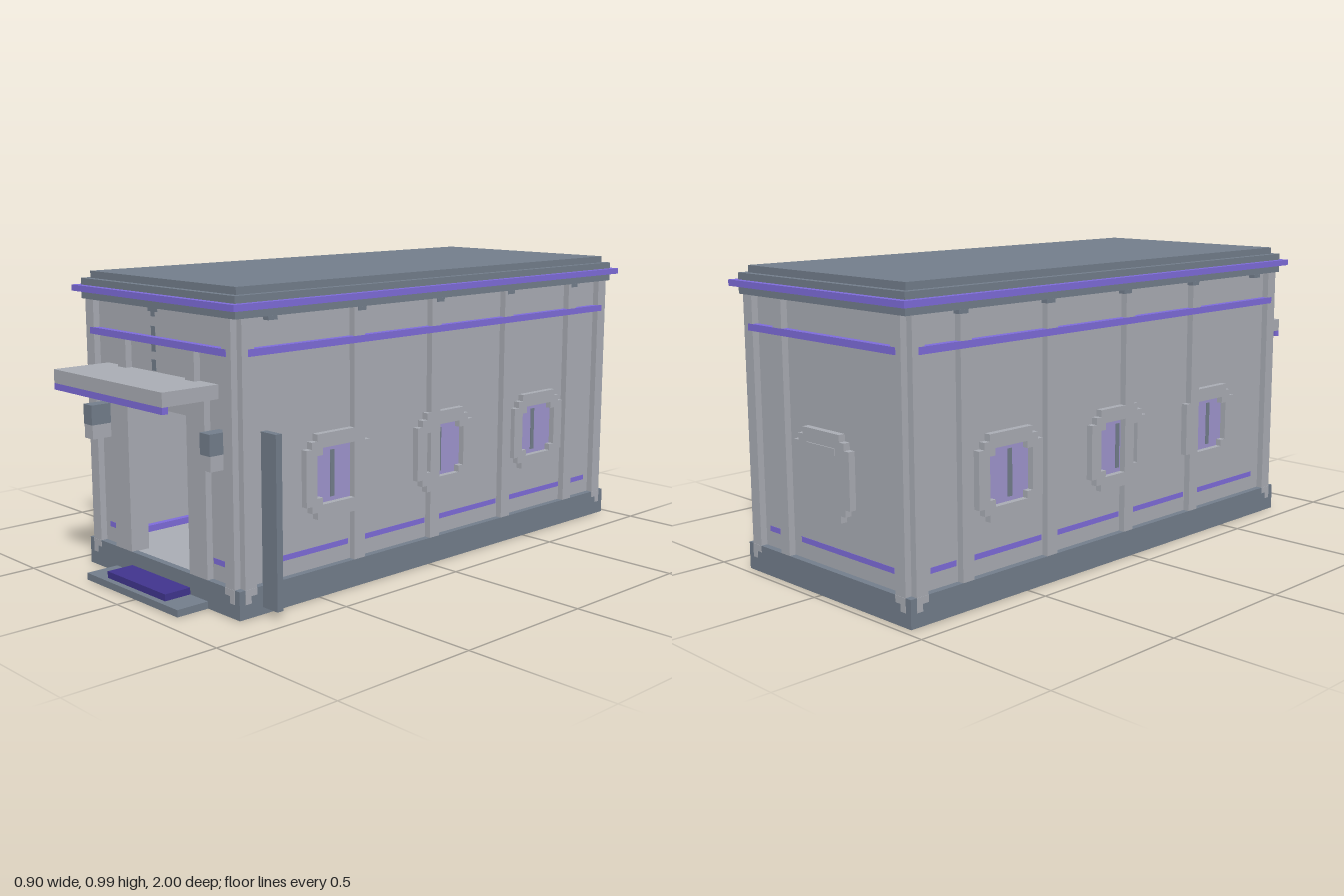
import * as THREE from 'three';

const mat = (name, color) => Object.assign(new THREE.MeshStandardMaterial({ color }), { name });

export function createModel() {
  const wall = mat('wall grey', 0xabaeb6);
  wall.side = THREE.DoubleSide;
  const slate = mat('slate', 0x747f8d);
  const purple = mat('purple trim', 0x7f6ddc);
  const glass = mat('window glass', 0xa096d0);
  const matPurple = mat('deep purple mat', 0x41358f);
  const black = mat('near black', 0x23222e);
  const under = mat('floor underside', 0x8e8f93);

  const root = new THREE.Group();
  root.name = 'building';
  const add = (name, geo, m) => {
    const o = new THREE.Mesh(geo, m);
    o.name = name;
    root.add(o);
    return o;
  };
  // Box given by its low and high limits on each axis
  const box = (name, m, x0, x1, y0, y1, z0, z1) => {
    const o = add(name, new THREE.BoxGeometry(Math.abs(x1 - x0), y1 - y0, Math.abs(z1 - z0)), m);
    o.position.set((x0 + x1) / 2, (y0 + y1) / 2, (z0 + z1) / 2);
    return o;
  };

  const V = 0.0225;                       // block size
  const X0 = -0.427, X1 = 0.38, Z0 = -0.975, Z1 = 0.82;
  const cx = (X0 + X1) / 2, hw = (X1 - X0) / 2;
  const sx = (s, d) => cx + s * (hw - d); // inset d from side s

  // Blocky round outline
  const blockRound = (Type, h, steps) => {
    const quarter = [];
    for (let i = 0; i <= steps; i++) {
      quarter.push([h - i * V, h - (steps - i) * V]);
      if (i < steps) quarter.push([h - (i + 1) * V, h - (steps - i) * V]);
    }
    const pts = [];
    for (let k = 0; k < 4; k++) {
      const c = [1, 0, -1, 0][k], n = [0, 1, 0, -1][k];
      quarter.forEach(([a, b]) => pts.push(new THREE.Vector2(a * c - b * n, a * n + b * c)));
    }
    return new Type(pts);
  };
  const frameGeo = holed => {
    const s = blockRound(THREE.Shape, 6 * V, 2);
    if (holed) s.holes.push(blockRound(THREE.Path, 4 * V, 1));
    return new THREE.ExtrudeGeometry(s, { depth: V, bevelEnabled: false });
  };

  // Plinth ring
  for (const s of [-1, 1]) box('plinthSide', slate, sx(s, 0), sx(s, V), 0, 0.09, Z0, Z1);
  box('plinthBack', slate, X0 + V, X1 - V, 0, 0.09, Z0, Z0 + V);
  box('plinthFront', slate, X0 + V, X1 - V, 0, 0.09, Z1 - V, Z1);

  // Floor layers, open where the two toothed rings sit
  const rings = [[-0.01, -0.455, 0.16], [-0.07, 0.105, 0.16]];
  const floorLayer = (name, m, y, depth) => {
    const a = X0 + V, b = X1 - V, c = -Z1 + V, d = -Z0 - V;
    const s = new THREE.Shape([[a, c], [b, c], [b, d], [a, d]].map(p => new THREE.Vector2(...p)));
    for (const [x, z, r] of rings) s.holes.push(new THREE.Path().absarc(x, -z, r * 0.72, 0, Math.PI * 2, true));
    const o = add(name, new THREE.ExtrudeGeometry(s, { depth, bevelEnabled: false }), m);
    o.rotation.x = -Math.PI / 2;
    o.position.y = y;
  };
  floorLayer('floorTop', wall, 0.076, 0.012);
  floorLayer('floorUnderside', under, 0.066, 0.01);
  box('lowerEdgeLight', purple, 0.292, 0.3, 0, 0.066, Z0 + 2 * V, Z1 - 2 * V);
  for (const [x, z, l] of [[-0.21, -0.795, 0.1], [-0.235, -0.24, 0.12], [-0.28, 0.59, 0.2]])
    box('undersideLight', purple, x - 0.015, x + 0.015, 0.058, 0.066, z - l / 2, z + l / 2);

  // Cornice and roof
  box('corniceBase', slate, X0, X1, 0.9, 0.925, Z0, Z1);
  box('corniceTrim', purple, X0 - V, X1 + V, 0.925, 0.945, Z0 - V, Z1 + V);
  box('roofLower', slate, X0, X1, 0.945, 0.967, Z0, Z1);
  box('roofUpper', slate, X0 + V, X1 - V, 0.967, 0.99, Z0 + V, Z1 - V);

  // Slightly recessed walls
  for (const s of [-1, 1]) box('sideWall', wall, sx(s, V), sx(s, 3 * V), 0.088, 0.9, Z0 + V, Z1 - V);
  box('backWall', wall, X0 + V, X1 - V, 0.088, 0.9, Z0 + V, Z0 + 3 * V);
  const zf0 = Z1 - 3 * V, zf1 = Z1 - V;
  box('frontWallRight', wall, X0 + V, -0.18, 0.088, 0.9, zf0, zf1);
  box('frontWallLeft', wall, 0.135, X1 - V, 0.088, 0.9, zf0, zf1);
  box('frontWallTop', wall, -0.18, 0.135, 0.588, 0.9, zf0, zf1);

  // Notched corner posts with stepped feet over the plinth
  for (const s of [-1, 1]) for (const [z, t] of [[Z1, 1], [Z0, -1]]) {
    box('cornerPostFace', wall, sx(s, V), sx(s, 3 * V), 0.09, 0.9, z, z - t * V);
    box('cornerPostSide', wall, sx(s, 0), sx(s, V), 0.09, 0.9, z - t * V, z - t * 3 * V);
    for (const [i, y] of [[1, 0.045], [2, 0.068]]) {
      const a = i * V, b = a + V;
      box('postFootFace', wall, sx(s, a), sx(s, b), y, 0.09, z, z + t * 0.001);
      box('postFootSide', wall, sx(s, 0), sx(s, -0.001), y, 0.09, z - t * a, z - t * b);
    }
  }

  // Side bays: pilasters, bands, light strips and windows
  const pilasters = [0.328, -0.023, -0.392, -0.75];
  const strips = [[0.71, 0.36], [0.3, 0.005], [-0.05, -0.365], [-0.42, -0.725], [-0.78, -0.88]];
  for (const s of [-1, 1]) {
    for (const z of pilasters) box('sidePilaster', wall, sx(s, 0), sx(s, V), 0.09, 0.9, z - V, z + V);
    box('sideBand', purple, sx(s, -0.001), sx(s, V), 0.788, 0.81, Z0 + 2 * V, Z1 - 2 * V);
    for (const [a, b] of strips) box('sideLightStrip', purple, sx(s, V - 0.001), sx(s, V), 0.14, 0.158, a, b);
    for (const z of [0.418, -0.073, -0.57]) {
      const f = add('windowFrame', frameGeo(true), wall);
      f.rotation.y = s * Math.PI / 2;
      f.position.set(sx(s, V), 0.386, z);
      box('windowGlass', glass, sx(s, V - 0.002), sx(s, V), 0.296, 0.476, z - 4 * V, z + 4 * V);
      box('windowBar', slate, sx(s, V - 0.004), sx(s, V), 0.31, 0.46, z + 0.002, z + 0.02);
    }
    // Small accents under the cornice
    for (const z of [0.68, 0.318, -0.04, -0.4, -0.76])
      box('sideAccent', slate, sx(s, -0.001), sx(s, V), 0.888, 0.9, z - 0.018, z + 0.018);
  }

  // Back wall details
  box('backPilaster', wall, 0.157, 0.202, 0.09, 0.9, Z0, Z0 + V);
  box('backBand', purple, X0 + 2 * V, X1 - 2 * V, 0.788, 0.81, Z0 - 0.001, Z0 + V);
  box('backLightStripShort', purple, 0.23, 0.29, 0.14, 0.158, Z0 + V - 0.001, Z0 + V);
  box('backLightStripLong', purple, -0.33, 0.12, 0.14, 0.158, Z0 + V - 0.001, Z0 + V);
  add('backHatch', frameGeo(false), wall).position.set(cx, 0.386, Z0);
  box('hatchHandle', wall, cx - 0.07, cx + 0.07, 0.455, 0.477, Z0 - 0.004, Z0);

  // Front: piers, lintel, upper posts, lights and lamps
  for (const s of [-1, 1]) {
    const m = v => -0.0225 + s * v;
    box('doorPier', wall, m(0.1575), m(0.2475), 0.09, 0.655, zf1, Z1);
    box('upperPost', wall, m(0.1575), m(0.2025), 0.697, 0.788, zf1, Z1);
    box('frontLightStrip', purple, m(0.252), m(0.312), 0.14, 0.158, zf1, zf1 + 0.001);
    box('lampBase', wall, m(0.29), m(0.3375), 0.45, 0.497, zf1, 0.868);
    box('lampHead', slate, m(0.29), m(0.3375), 0.497, 0.563, zf1, 0.87);
  }
  box('doorLintel', wall, -0.18, 0.135, 0.588, 0.655, zf1, Z1);
  box('frontBand', purple, X0 + 2 * V, X1 - 2 * V, 0.788, 0.81, zf1, Z1 + 0.001);
  for (const [a, b, w] of [[0.7, 0.735, 0.011], [0.76, 0.788, 0.011], [0.81, 0.84, 0.011], [0.87, 0.885, 0.011], [0.885, 0.9, 0.025]])
    box('frontAccent', slate, -0.057 - w, -0.057 + w, a, b, zf1, zf1 + 0.001);

  // Canopy, doorstep, mat and side fin
  box('canopy', wall, -0.315, 0.268, 0.653, 0.697, zf1, 1);
  box('canopyTrim', purple, -0.315, 0.268, 0.632, 0.653, 0.98, 1);
  box('doorstep', slate, -0.27, 0.225, 0, 0.023, Z1, 0.935);
  box('doormat', matPurple, -0.18, 0.135, 0.023, 0.045, Z1, 0.915);
  box('stepUnderPanel', matPurple, -0.18, 0.135, -0.001, 0, Z1, 0.915);
  box('sideFin', slate, X1, 0.448, 0.023, 0.563, 0.708, 0.731);

  // Toothed rings set through the floor, each with a hollow core
  for (const [x, z, r] of rings) {
    const pts = [];
    for (let i = 0; i < 72; i++) {
      const a = i / 72 * Math.PI * 2, q = i % 4 < 2 ? r : r * 0.9;
      pts.push(new THREE.Vector2(Math.cos(a) * q, Math.sin(a) * q));
    }
    const s = new THREE.Shape(pts);
    s.holes.push(new THREE.Path().absarc(0, 0, r * 0.72, 0, Math.PI * 2, true));
    const g = add('toothedRing', new THREE.ExtrudeGeometry(s, { depth: 0.075, bevelEnabled: false }), black);
    g.rotation.x = -Math.PI / 2;
    g.position.set(x, 0.035, z);
    const core = add('ringCore', new THREE.CylinderGeometry(r * 0.7, r * 0.7, 0.12, 16, 1, true), wall);
    core.position.set(x, 0.12, z);
    const cap = add('ringCap', new THREE.CylinderGeometry(r * 0.7, r * 0.7, 0.01, 16), wall);
    cap.position.set(x, 0.18, z);
  }
  // Square frame around the nearer ring
  for (const s of [-1, 1]) {
    box('ringFrameSide', slate, -0.07 + s * 0.17, -0.07 + s * 0.2, 0.045, 0.066, -0.095, 0.305);
    box('ringFrameEnd', slate, -0.24, 0.1, 0.045, 0.066, 0.105 + s * 0.17, 0.105 + s * 0.2);
  }

  // Interior furniture seen through the door
  for (const [a, b, y0, y1] of [[-0.25, 0.02, 0.185, 0.32], [-0.2, -0.045, 0.32, 0.45]])
    box('pedestalTier', wall, a, b, y0, y1, -0.03, 0.2);
  box('counter', slate, 0.045, 0.09, 0.1, 0.25, -0.3, -0.1);
  box('innerScreen', wall, -0.18, 0.09, 0.088, 0.475, -0.74, -0.7);
  box('innerColumn', wall, -0.045, 0, 0.475, 0.563, -0.74, -0.7);
  box('screenLight', glass, 0, 0.045, 0.32, 0.405, -0.7, -0.692);
  box('screenTopLightRight', glass, -0.07, -0.045, 0.475, 0.5, -0.74, -0.7);
  box('screenTopLightLeft', glass, 0, 0.02, 0.475, 0.5, -0.74, -0.7);
  box('lowBench', slate, -0.26, -0.185, 0.088, 0.125, 0.34, 0.45);
  box('benchTop', black, -0.225, -0.185, 0.125, 0.18, 0.34, 0.4);
  box('innerSkirtingLight', purple, X0 + 3 * V, X0 + 4 * V, 0.088, 0.11, Z0 + 3 * V, zf0);
  return root;
}
